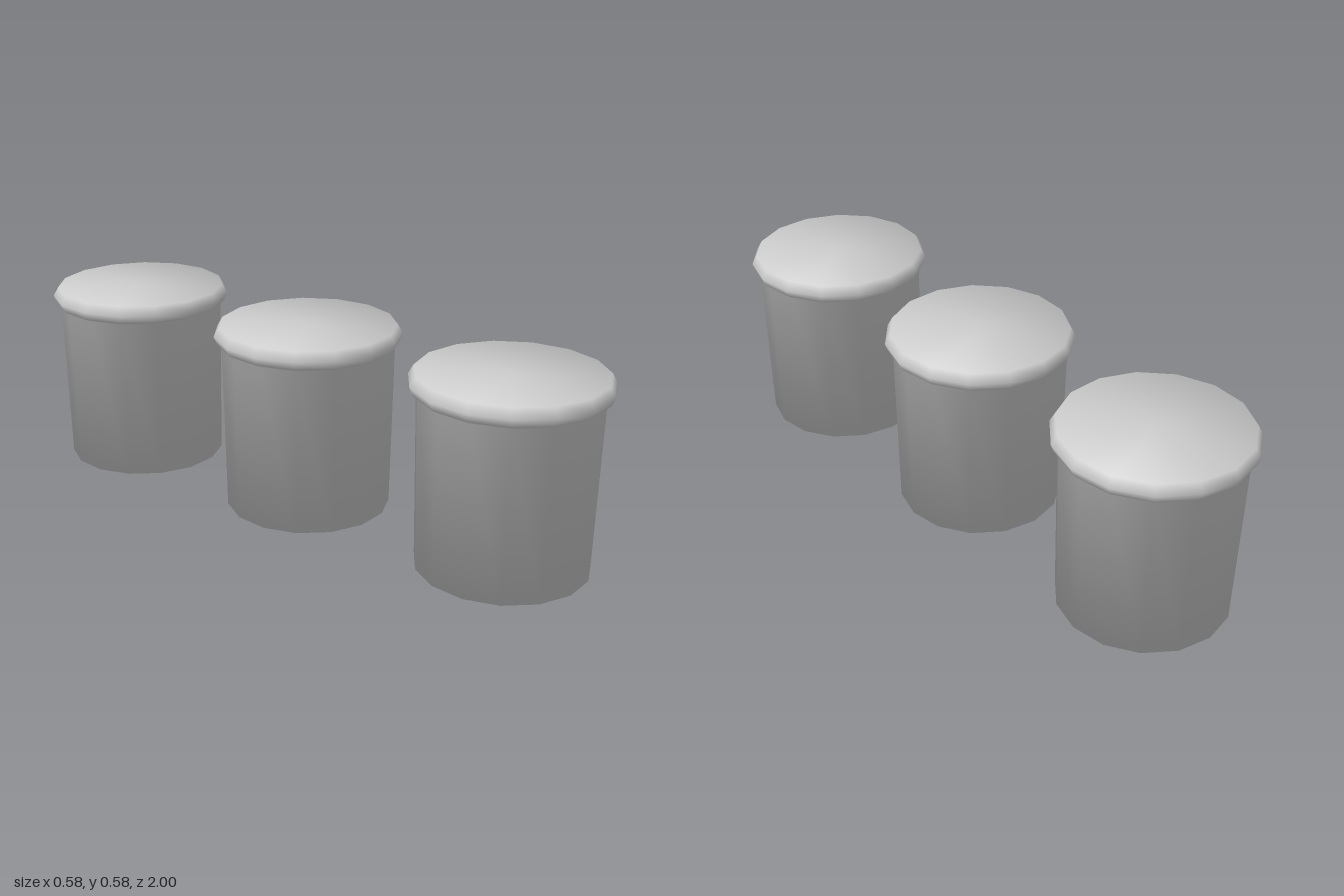
import * as THREE from 'three';

const SIDES = 15;
const SPACING = 0.7135;

// Solid jar outline (radius, height), from the base centre up to the lid centre
const PROFILE = [
  [0, 0], [0.2575, 0], [0.2665, 0.523], [0.2795, 0.532],
  [0.29, 0.557], [0.274, 0.585], [0, 0.585],
].map(([r, y]) => new THREE.Vector2(r, y));

function jarGeometry() {
  // phiStart = PI puts one corner of the polygon at the back
  const geo = new THREE.LatheGeometry(PROFILE, SIDES, Math.PI);

  // Evenly blended normals: each ring averages the two bands that meet there
  const bands = PROFILE.slice(1).map((p, j) => {
    const d = p.clone().sub(PROFILE[j]).normalize();
    return new THREE.Vector2(d.y, -d.x);
  });
  const rings = PROFILE.map((_, j) =>
    (bands[j - 1] ?? bands[j]).clone().add(bands[j] ?? bands[j - 1]).normalize());
  // Pole normals match the rim's upward part, so each cap shades as one face
  const last = PROFILE.length - 1;
  rings[0].set(0, rings[1].y);
  rings[last].set(0, rings[last - 1].y);

  const normal = geo.attributes.normal;
  for (let i = 0; i <= SIDES; i++) {
    const a = Math.PI + (i / SIDES) * Math.PI * 2;
    rings.forEach((n, j) =>
      normal.setXYZ(i * PROFILE.length + j, n.x * Math.sin(a), n.y, n.x * Math.cos(a)));
  }
  return geo;
}

export function createModel() {
  const group = new THREE.Group();
  group.name = 'jarRow';
  const material = new THREE.MeshStandardMaterial({ color: 0xcccccc });
  const geometry = jarGeometry();

  // Row of three equal jars from back to front
  ['backJar', 'middleJar', 'frontJar'].forEach((name, i) => {
    const jar = new THREE.Mesh(geometry, material);
    jar.name = name;
    jar.position.z = 0.003 + (i - 1) * SPACING;
    group.add(jar);
  });
  return group;
}
